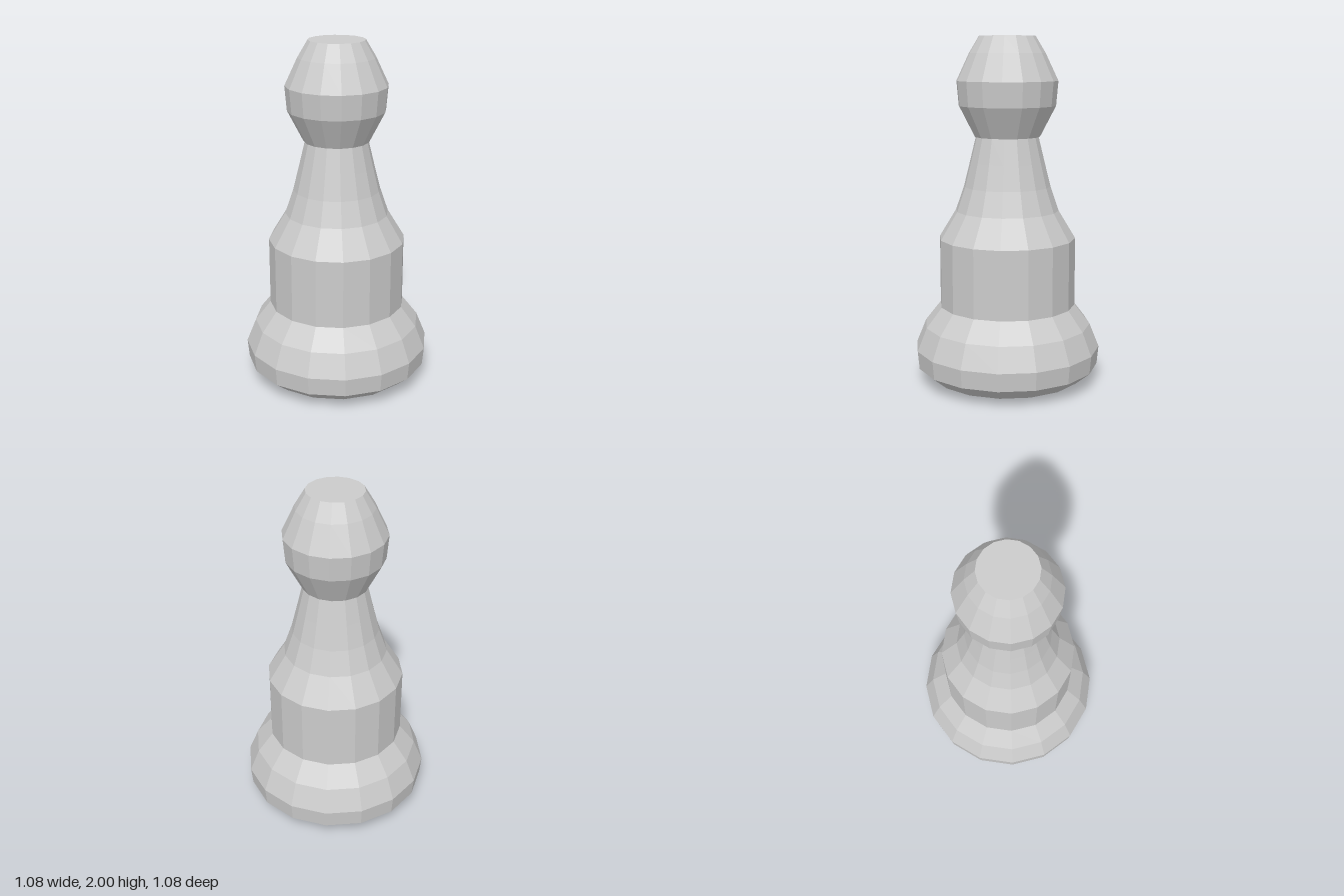
import * as THREE from 'three';

const SIDES = 16;

export function createModel() {
  const group = new THREE.Group();
  const material = new THREE.MeshStandardMaterial({ color: 0xcccccc, flatShading: true });

  // Turns a [radius, height] profile, listed bottom to top, into a faceted solid
  const turned = (name, profile) => {
    const points = profile.map(([r, y]) => new THREE.Vector2(r, y));
    const mesh = new THREE.Mesh(new THREE.LatheGeometry(points, SIDES), material);
    mesh.name = name;
    group.add(mesh);
  };

  // Rounded foot with a flat underside
  turned('base', [[0, 0], [0.3, 0], [0.445, 0.03], [0.53, 0.1], [0.54, 0.205], [0.485, 0.34], [0.395, 0.455]]);

  // Straight drum
  turned('drum', [[0.395, 0.455], [0.395, 0.85]]);

  // Concave shoulder tapering to the neck
  turned('neck', [[0.395, 0.85], [0.298, 1.01], [0.25, 1.15], [0.215, 1.29], [0.18, 1.435]]);

  // Flat-topped knob
  turned('head', [[0, 1.435], [0.188, 1.435], [0.278, 1.61], [0.29, 1.75], [0.217, 1.905], [0.16, 2], [0, 2]]);

  return group;
}
